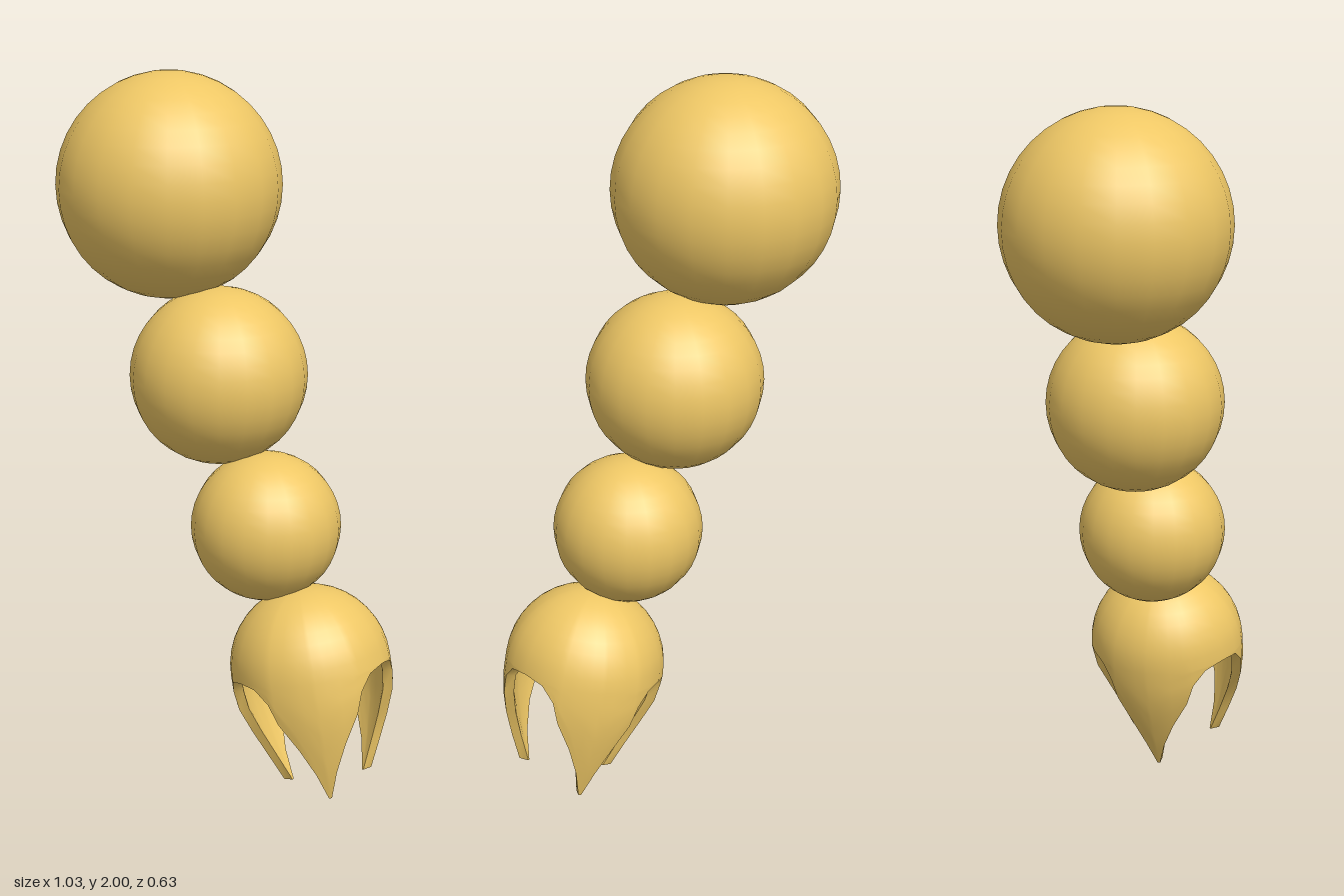
import * as THREE from 'three';

const material = new THREE.MeshStandardMaterial({ color: 0xeec765 });
const rad = THREE.MathUtils.degToRad;

// Piecewise-linear lookup in a list of [key, value] pairs
function lookup(table, k) {
  for (let i = 1; i < table.length; i++) {
    const [k0, v0] = table[i - 1], [k1, v1] = table[i];
    if (k <= k1) return v0 + (v1 - v0) * (k - k0) / (k1 - k0);
  }
  return table[table.length - 1][1];
}

// Closed-loop rows of points joined into a smooth skin
function skin(rows, name) {
  const n = rows[0].length, index = [];
  for (let i = 0; i < rows.length - 1; i++) {
    for (let j = 0; j < n; j++) {
      const a = i * n + j, b = i * n + (j + 1) % n;
      index.push(a, b, a + n, b, b + n, a + n);
    }
  }
  const geometry = new THREE.BufferGeometry().setFromPoints(rows.flat());
  geometry.setIndex(index);
  geometry.computeVertexNormals();
  const mesh = new THREE.Mesh(geometry, material);
  mesh.name = name;
  return mesh;
}

// Hollow dome whose rim runs down into three pointed claws
function createClaw() {
  const R = 0.226, thickness = 0.028, domeRows = 10, clawRows = 7;
  // half-width of a claw in degrees -> how far it hangs below the equator
  const rim = [[1.5, 0.35], [9, 0.27], [18, 0.19], [29, 0.11], [34, 0.05], [44, 0.01], [60, 0]];
  // depth below the equator -> radius
  const bulge = [[0, R], [0.07, R], [0.14, 0.215], [0.25, 0.185], [0.35, 0.15]];

  // Columns: angle around the axis and depth of the rim there
  const claws = [-69, 54, 180], columns = [];
  claws.forEach((angle, i) => {
    const next = i < 2 ? claws[i + 1] : claws[0] + 360;
    const half = (next - angle) / 2;
    rim.forEach(([w, depth]) => columns.push([angle + w * half / 60, depth]));
    rim.slice(0, -1).reverse().forEach(([w, depth]) => columns.push([next - w * half / 60, depth]));
  });

  const shell = (inset) => {
    const rows = [];
    for (let i = 0; i <= domeRows + clawRows; i++) {
      rows.push(columns.map(([angle, depth]) => {
        let r, y;
        if (i <= domeRows) {
          const t = Math.PI / 2 * i / domeRows;
          r = (R - inset) * Math.sin(t);
          y = (R - inset) * Math.cos(t);
        } else {
          const s = depth * (i - domeRows) / clawRows;
          r = lookup(bulge, s) - inset;
          y = -s;
        }
        return new THREE.Vector3(r * Math.cos(rad(angle)), y, r * Math.sin(rad(angle)));
      }));
    }
    return rows;
  };

  const outer = shell(0), inner = shell(thickness);
  const group = new THREE.Group();
  group.name = 'claw';
  group.add(
    skin(outer, 'clawOuter'),
    skin([outer.at(-1), inner.at(-1)], 'clawRim'),
    skin(inner.reverse(), 'clawInner')
  );
  group.position.set(0.287, 0.37, 0);
  group.rotation.z = 0.187;
  return group;
}

export function createModel() {
  const model = new THREE.Group();
  model.name = 'clawArm';

  // Shrinking balls from shoulder to wrist: name, x, y, radius
  const balls = [
    ['shoulderBall', -0.2, 1.683, 0.317],
    ['elbowBall', -0.03, 1.162, 0.25],
    ['wristBall', 0.133, 0.75, 0.211],
  ];
  for (const [name, x, y, r] of balls) {
    const ball = new THREE.Mesh(new THREE.SphereGeometry(r, 20, 20), material);
    ball.name = name;
    ball.position.set(x, y, 0);
    model.add(ball);
  }

  model.add(createClaw());
  return model;
}
